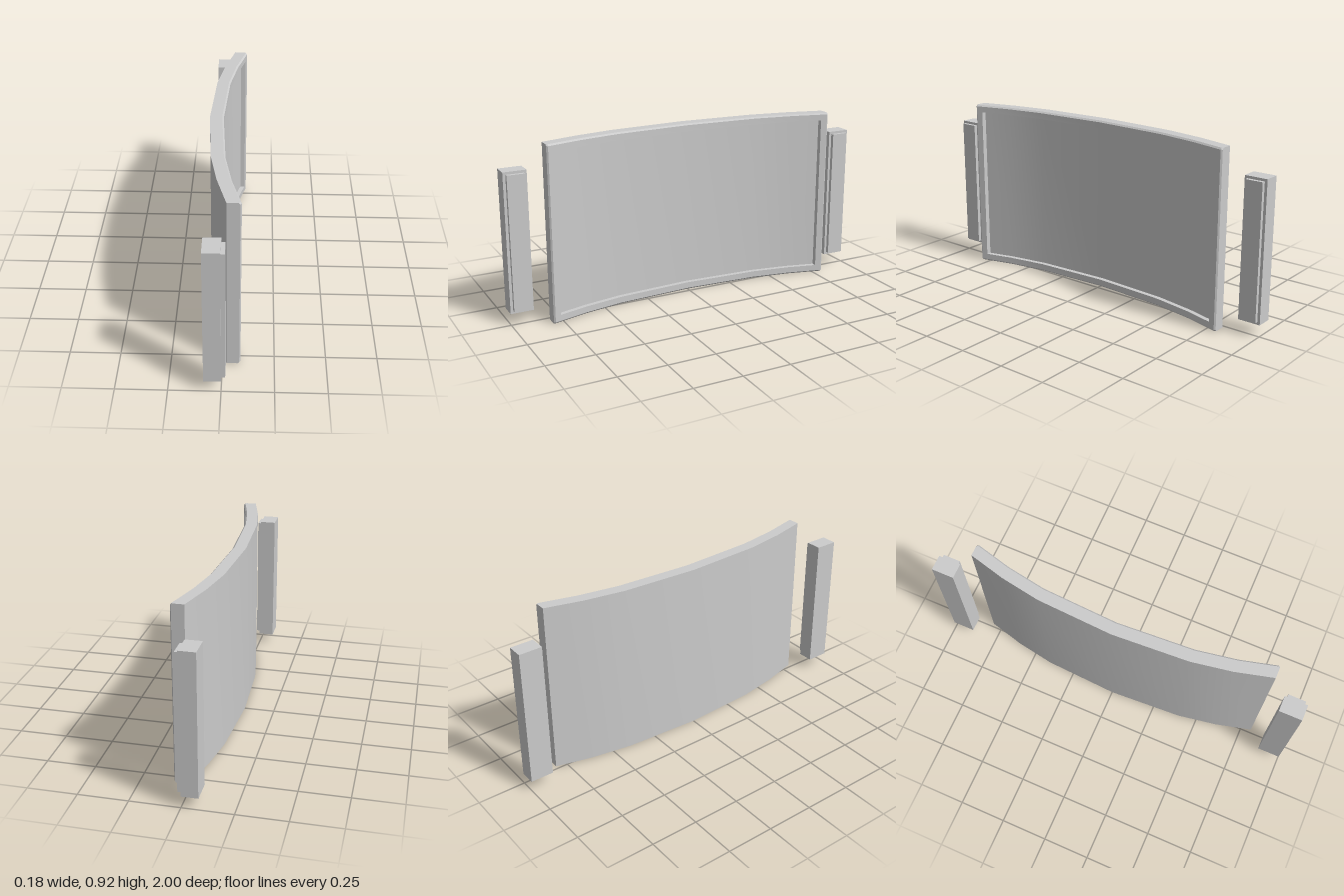
import * as THREE from 'three';
import { toCreasedNormals } from 'three/addons/utils/BufferGeometryUtils.js';

const material = new THREE.MeshStandardMaterial({ color: 0xcccccc });

// Plan curve of the back face: x for a given z, in straight facets
const CURVE = [[0, -0.09], [0.4, -0.068], [0.61, -0.032], [0.81, 0.02]];
function backX(z) {
  const a = Math.abs(z);
  let i = 1;
  while (i < CURVE.length - 1 && a > CURVE[i][0]) i++;
  const [z0, x0] = CURVE[i - 1], [z1, x1] = CURVE[i];
  return x0 + (x1 - x0) * (a - z0) / (z1 - z0);
}

const HEIGHT = 0.92, DEPTH = 0.07, RIM = 0.04, RECESS = 0.025, BEVEL = 0.008;

// Closed section [depth, y]: back, bevelled front edges, screen recess
function section(front, recess) {
  const s = front - BEVEL, r = front - recess;
  return [
    [0, 0], [0, HEIGHT],
    [s, HEIGHT], [front, HEIGHT - BEVEL],
    [front, HEIGHT - RIM], [r, HEIGHT - RIM],
    [r, RIM], [front, RIM],
    [front, BEVEL], [s, 0],
  ];
}

// Curved panel lofted along z, frame and recessed screen in one surface
function panelGeometry() {
  const half = [[0.805, DEPTH - BEVEL, 0], [0.797, DEPTH, 0], [0.765, DEPTH, 0],
    [0.765, DEPTH, RECESS], [0.61, DEPTH, RECESS], [0.4, DEPTH, RECESS]];
  const stations = [
    ...half.map(([z, f, r]) => [-z, f, r]),
    [0, DEPTH, RECESS],
    ...half.slice().reverse(),
  ];
  const pos = [], index = [], n = 10;
  for (const [z, front, recess] of stations) {
    for (const [d, y] of section(front, recess)) pos.push(backX(z) + d, y, z);
  }
  for (let j = 0; j < stations.length - 1; j++) {
    for (let i = 0; i < n; i++) {
      const a = j * n + i, b = j * n + (i + 1) % n;
      index.push(a, a + n, b, b, a + n, b + n);
    }
  }
  // End caps
  const last = (stations.length - 1) * n;
  for (let i = 1; i < n - 1; i++) {
    index.push(0, i, i + 1, last, last + i + 1, last + i);
  }
  const geo = new THREE.BufferGeometry();
  geo.setAttribute('position', new THREE.Float32BufferAttribute(pos, 3));
  geo.setIndex(index);
  return toCreasedNormals(geo, 0.4);
}

// Box given by its extents
function box(name, x0, x1, y0, y1, z0, z1) {
  const mesh = new THREE.Mesh(new THREE.BoxGeometry(x1 - x0, y1 - y0, z1 - z0), material);
  mesh.position.set((x0 + x1) / 2, (y0 + y1) / 2, (z0 + z1) / 2);
  mesh.name = name;
  return mesh;
}

export function createModel() {
  const model = new THREE.Group();
  model.name = 'curvedTelevision';

  const panel = new THREE.Mesh(panelGeometry(), material);
  panel.name = 'curvedScreen';
  model.add(panel);

  // A speaker column with a raised grille on each side
  for (const side of [-1, 1]) {
    const speaker = new THREE.Group();
    speaker.name = side > 0 ? 'frontSpeaker' : 'rearSpeaker';
    speaker.add(box('speakerCabinet', -0.083, 0, 0.06, 0.788, -0.06, 0.06));
    speaker.add(box('speakerGrille', -0.005, 0.019, 0.074, 0.775, -0.046, 0.046));
    speaker.position.z = side * 0.94;
    model.add(speaker);
  }
  return model;
}
